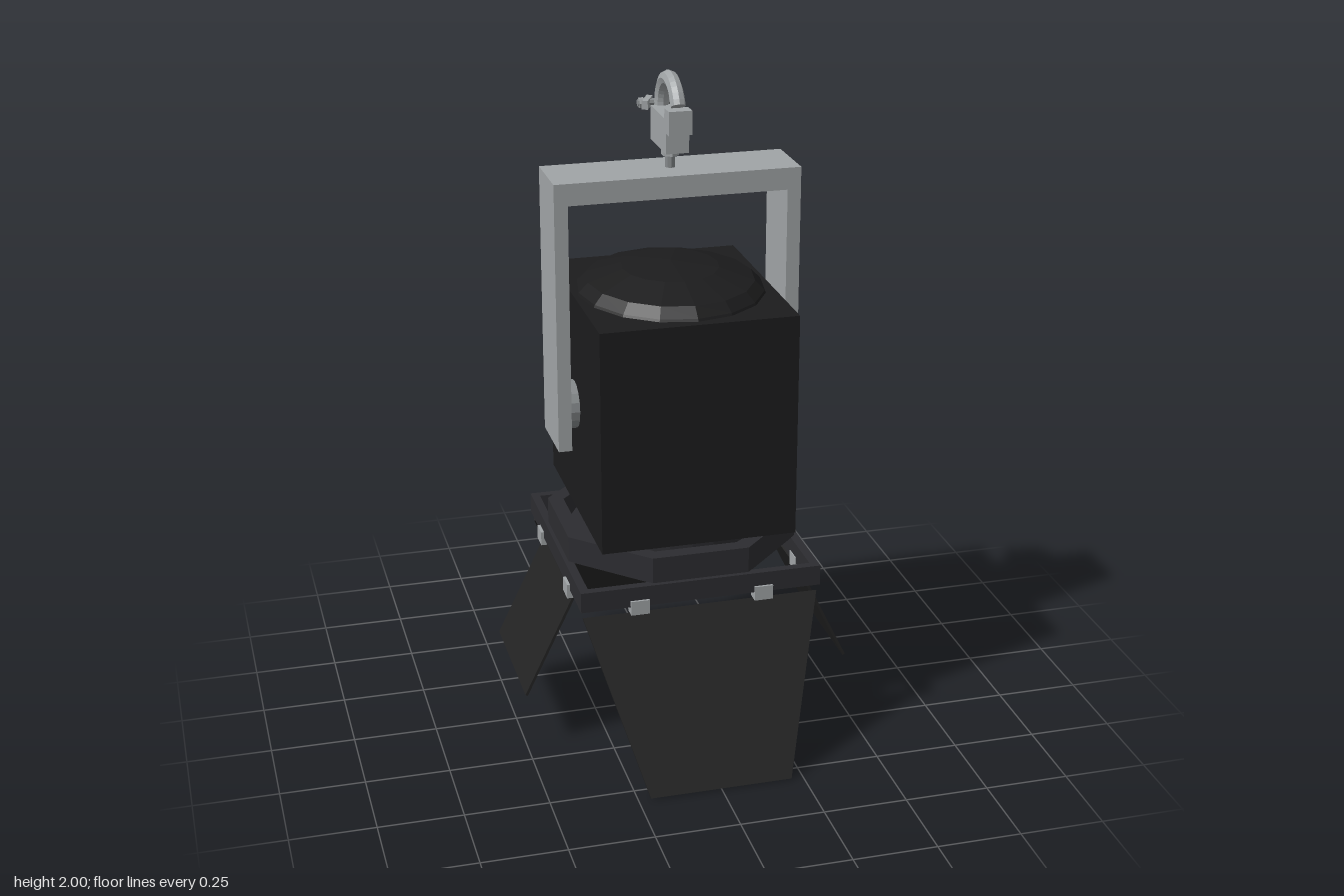
import * as THREE from 'three';

const mat = (color, opts = {}) => {
  const m = new THREE.MeshStandardMaterial({ flatShading: true, ...opts });
  m.color.set(color);
  return m;
};
const black = mat(0x1c1c1d);
const frameDark = mat(0x2c2c30);
const doorDark = mat(0x232323);
const steel = mat(0xa0a4a6);
const darkSteel = mat(0x84888a);
const glass = mat(0x586062, { side: THREE.DoubleSide });

export function createModel() {
  const model = new THREE.Group();
  model.name = 'stageLight';
  const lamp = new THREE.Group();
  lamp.name = 'lamp';
  lamp.position.z = -0.03;
  model.add(lamp);

  const add = (name, geo, material, x = 0, y = 0, z = 0, parent = lamp) => {
    const mesh = new THREE.Mesh(geo, material);
    mesh.name = name;
    mesh.position.set(x, y, z);
    parent.add(mesh);
    return mesh;
  };
  const box = (name, w, h, d, material, x, y, z, parent) =>
    add(name, new THREE.BoxGeometry(w, h, d), material, x, y, z, parent);
  const polygon = (pts) => new THREE.Shape(pts.map(([x, y]) => new THREE.Vector2(x, y)));
  // Regular polygon with the given apothem, flat sides facing the axes
  const regular = (sides, apothem) => polygon(Array.from({ length: sides }, (_, i) => {
    const a = ((i + 0.5) / sides) * Math.PI * 2;
    const r = apothem / Math.cos(Math.PI / sides);
    return [r * Math.cos(a), r * Math.sin(a)];
  }));
  // Upright hollow prism starting at y = 0
  const ring = (outer, inner, height) => {
    outer.holes.push(inner);
    return new THREE.ExtrudeGeometry(outer, { depth: height, bevelEnabled: false }).rotateX(-Math.PI / 2);
  };
  const rect = (w, d) => polygon([[-w, -d], [w, -d], [w, d], [-w, d]]);

  // Housing with a shallow cap and a rear plate
  box('housing', 0.582, 0.675, 0.672, black, 0, 1.0175, 0);
  const cap = [[1, 1.35], [0.98, 1.362], [0.88, 1.39], [0.51, 1.424], [0, 1.44]]
    .map(([r, y]) => new THREE.Vector2(r, y));
  add('cap', new THREE.LatheGeometry(cap, 16), black).scale.set(0.28, 1, 0.313);
  box('rearPlate', 0.2, 0.055, 0.03, black, 0, 1.267, -0.345);

  // Lens barrel, flange and lens
  const barrel = [[0.225, 0.69], [0.225, 0.56], [0.256, 0.56], [0.256, 0.69]]
    .map(([r, y]) => new THREE.Vector2(r, y));
  add('lensBarrel', new THREE.LatheGeometry(barrel, 24), frameDark).material = mat(0x2c2c30, { side: THREE.DoubleSide });
  add('lensFlange', ring(regular(24, 0.304), regular(24, 0.235), 0.03), frameDark, 0, 0.575, 0);
  const lens = [[0, 0.585], [0.09, 0.592], [0.17, 0.612], [0.226, 0.64]]
    .map(([r, y]) => new THREE.Vector2(r, y));
  add('lens', new THREE.LatheGeometry(lens, 24), glass);

  // Octagonal collar and square door frame
  add('collar', ring(regular(8, 0.35), regular(8, 0.305), 0.08), frameDark, 0, 0.575, 0);
  add('doorFrame', ring(rect(0.362, 0.364), rect(0.336, 0.338), 0.062), frameDark, 0, 0.514, 0);

  // Four hinged doors: yaw, top half-width, bottom half-width, length
  const doors = [
    ['frontDoor', 0, 0.355, 0.213, 0.54],
    ['leftDoor', Math.PI / 2, 0.21, 0.21, 0.344],
    ['backDoor', Math.PI, 0.355, 0.213, 0.405],
    ['rightDoor', -Math.PI / 2, 0.21, 0.21, 0.344],
  ];
  for (const [name, yaw, top, bottom, length] of doors) {
    const side = new THREE.Group();
    side.name = name;
    side.rotation.y = yaw;
    lamp.add(side);
    const shape = polygon([[-top, 0], [-bottom, -length], [bottom, -length], [top, 0]]);
    const geo = new THREE.ExtrudeGeometry(shape, { depth: 0.008, bevelEnabled: false }).translate(0, 0, -0.004);
    add('doorLeaf', geo, doorDark, 0, 0.49, 0.35, side).rotation.x = -0.45;
    for (const s of [-1, 1]) box('hinge', 0.056, 0.044, 0.038, steel, s * 0.187, 0.512, 0.352, side);
  }

  // Yoke and its pivots
  const yoke = polygon([[-0.363, 0.91], [-0.323, 0.91], [-0.323, 1.655], [0.323, 1.655],
    [0.323, 0.91], [0.363, 0.91], [0.363, 1.72], [-0.363, 1.72]]);
  add('yoke', new THREE.ExtrudeGeometry(yoke, { depth: 0.2, bevelEnabled: false }).translate(0, 0, -0.1), steel);
  for (const s of [-1, 1]) {
    add('pivot', new THREE.CylinderGeometry(0.072, 0.072, 0.04, 16).rotateZ(Math.PI / 2), darkSteel, s * 0.307, 1.018, 0);
  }

  // Hanging clamp
  const clamp = new THREE.Group();
  clamp.name = 'clamp';
  model.add(clamp);
  add('clampBolt', new THREE.CylinderGeometry(0.015, 0.015, 0.07, 8), darkSteel, 0, 1.75, -0.03, clamp);
  add('clampNut', new THREE.CylinderGeometry(0.027, 0.027, 0.025, 6), steel, 0, 1.768, -0.03, clamp);
  const block = polygon([[0.085, 1.91], [0.04, 1.91], [0.03, 1.88], [-0.12, 1.88],
    [-0.12, 1.78], [0.053, 1.78], [0.053, 1.84], [0.085, 1.84]]);
  add('clampBlock', new THREE.ExtrudeGeometry(block, { depth: 0.068, bevelEnabled: false })
    .translate(0, 0, -0.034).rotateY(-Math.PI / 2), steel, 0, 0, 0, clamp);

  // Hook bar curving over the block
  const path = Array.from({ length: 12 }, (_, i) => {
    const a = THREE.MathUtils.degToRad(22 + i * 14.5);
    return new THREE.Vector3(0, 1.882 + 0.096 * Math.sin(a), -0.03 + 0.096 * Math.cos(a));
  });
  path.push(new THREE.Vector3(0, 1.84, -0.122), new THREE.Vector3(0, 1.8, -0.108));
  const hookPath = new THREE.CatmullRomCurve3(path);
  add('hook', new THREE.TubeGeometry(hookPath, 22, 0.022, 8), steel, 0, 0, 0, clamp);
  for (const t of [0, 1]) {
    const end = add('hookEnd', new THREE.CircleGeometry(0.022, 8), steel, 0, 0, 0, clamp);
    end.position.copy(hookPath.getPointAt(t));
    end.lookAt(end.position.clone().addScaledVector(hookPath.getTangentAt(t), t ? 1 : -1));
  }

  // Cross pin with two splayed wings
  add('crossPin', new THREE.CylinderGeometry(0.011, 0.011, 0.138, 8).rotateZ(Math.PI / 2), darkSteel, 0, 1.885, -0.135, clamp);
  for (const s of [-1, 1]) {
    box('wing', 0.018, 0.026, 0.072, steel, s * 0.04, 1.885, -0.136, clamp).rotation.y = s * 0.45;
    add('pinNut', new THREE.CylinderGeometry(0.016, 0.016, 0.014, 6).rotateZ(Math.PI / 2), steel, s * 0.058, 1.885, -0.135, clamp);
  }
  return model;
}
